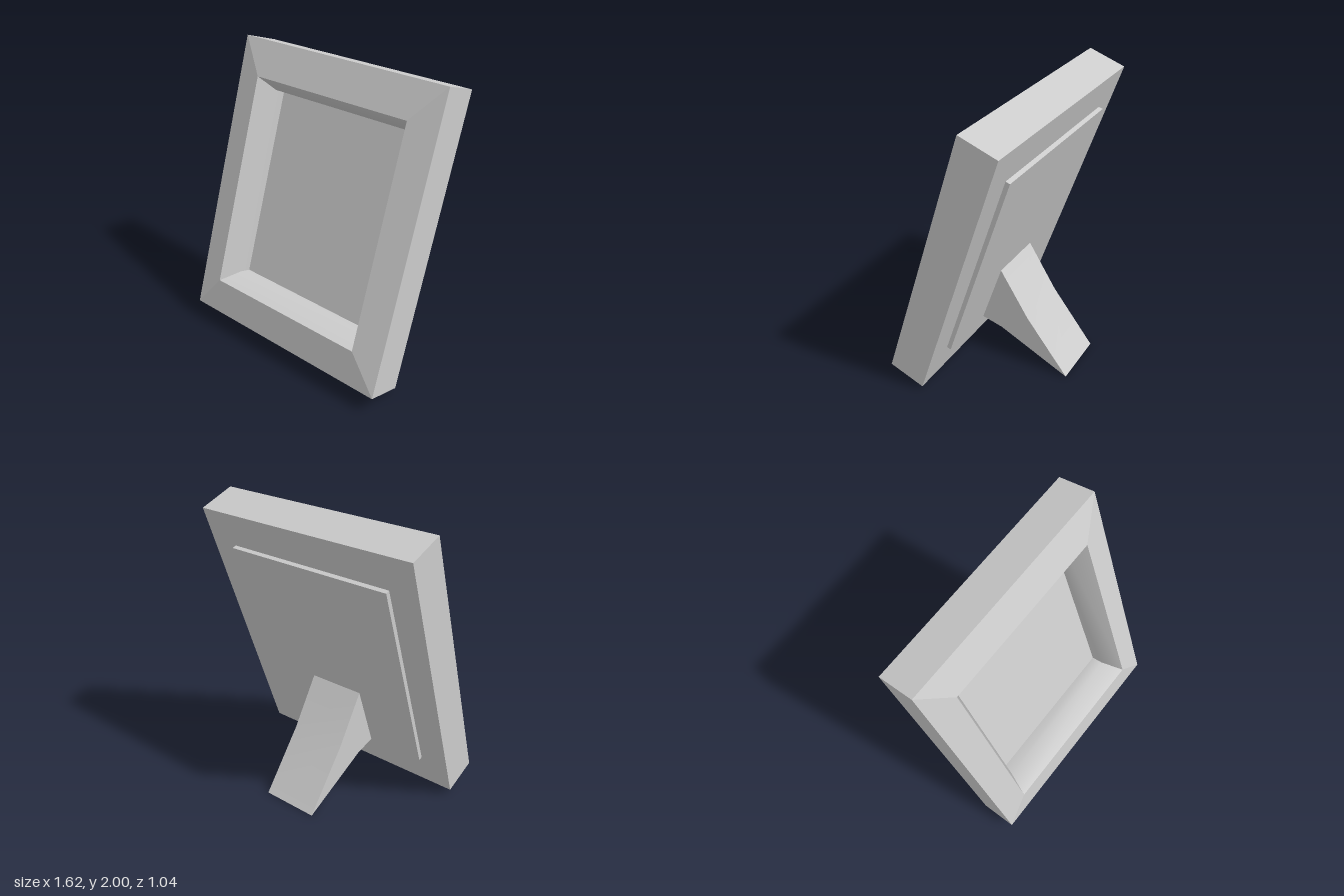
import * as THREE from 'three';
import { toCreasedNormals } from 'three/addons/utils/BufferGeometryUtils.js';

const material = new THREE.MeshStandardMaterial({ color: 0xcccccc });

function part(name, geometry) {
  const mesh = new THREE.Mesh(geometry, material);
  mesh.name = name;
  return mesh;
}

// Joins rectangular rings [halfWidth, halfHeight, z] with quads
function rectLoft(rings, crease) {
  const positions = [];
  const index = [];
  const corners = [[-1, -1], [1, -1], [1, 1], [-1, 1]];
  for (const [w, h, z] of rings) for (const [sx, sy] of corners) positions.push(sx * w, sy * h, z);
  for (let r = 0; r < rings.length - 1; r++) {
    for (let i = 0; i < 4; i++) {
      const a = r * 4 + i;
      const b = r * 4 + (i + 1) % 4;
      index.push(a, b, b + 4, a, b + 4, a + 4);
    }
  }
  const geometry = new THREE.BufferGeometry();
  geometry.setAttribute('position', new THREE.Float32BufferAttribute(positions, 3));
  geometry.setIndex(index);
  return toCreasedNormals(geometry, crease);
}

export function createModel() {
  const model = new THREE.Group();
  model.name = 'pictureFrame';

  // Outline sizes, measured in the plane of the leaning frame
  const W = 0.81, H = 0.992, DEPTH = 0.269;
  const lip = [0.61, 0.744, 0.04];
  const tilt = 0.3257;

  const frame = new THREE.Group();
  frame.name = 'leaningFrame';
  frame.rotation.x = -tilt;
  frame.position.set(0, 0.12 + H * Math.cos(tilt), 0.52 - H * Math.sin(tilt));
  model.add(frame);

  // Outer walls, raised front face and the recess with a sloped then straight wall
  frame.add(part('frameSides', rectLoft([[W, H, -DEPTH], [W, H, 0]], 0.2)));
  frame.add(part('frameFront', rectLoft([[W, H, 0], lip], 0.2)));
  frame.add(part('frameRecess', rectLoft([lip, [0.55, 0.672, -0.103], [0.55, 0.672, -0.187]], 0.6)));

  // Picture surface at the bottom of the recess
  const picture = part('picture', new THREE.PlaneGeometry(1.1, 1.344));
  picture.position.z = -0.187;
  frame.add(picture);

  // Back of the frame and its raised cover panel
  const back = part('frameBack', new THREE.PlaneGeometry(2 * W, 2 * H));
  back.rotation.y = Math.PI;
  back.position.z = -DEPTH;
  frame.add(back);
  const panel = part('backPanel', new THREE.BoxGeometry(1.22, 1.488, 0.04));
  panel.position.z = -0.279;
  frame.add(panel);

  // Support leg: side outline given as (z, y), extruded across the width
  const outline = [[0.155, 0.265], [0, 0.72], [-0.21, 0.39], [-0.52, 0], [0, 0.23]];
  const shape = new THREE.Shape(outline.map(([z, y]) => new THREE.Vector2(z, y)));
  const leg = new THREE.ExtrudeGeometry(shape, { depth: 0.4, bevelEnabled: false });
  leg.translate(0, 0, -0.2);
  leg.rotateY(-Math.PI / 2);
  model.add(part('supportLeg', toCreasedNormals(leg, 0.3)));

  return model;
}
